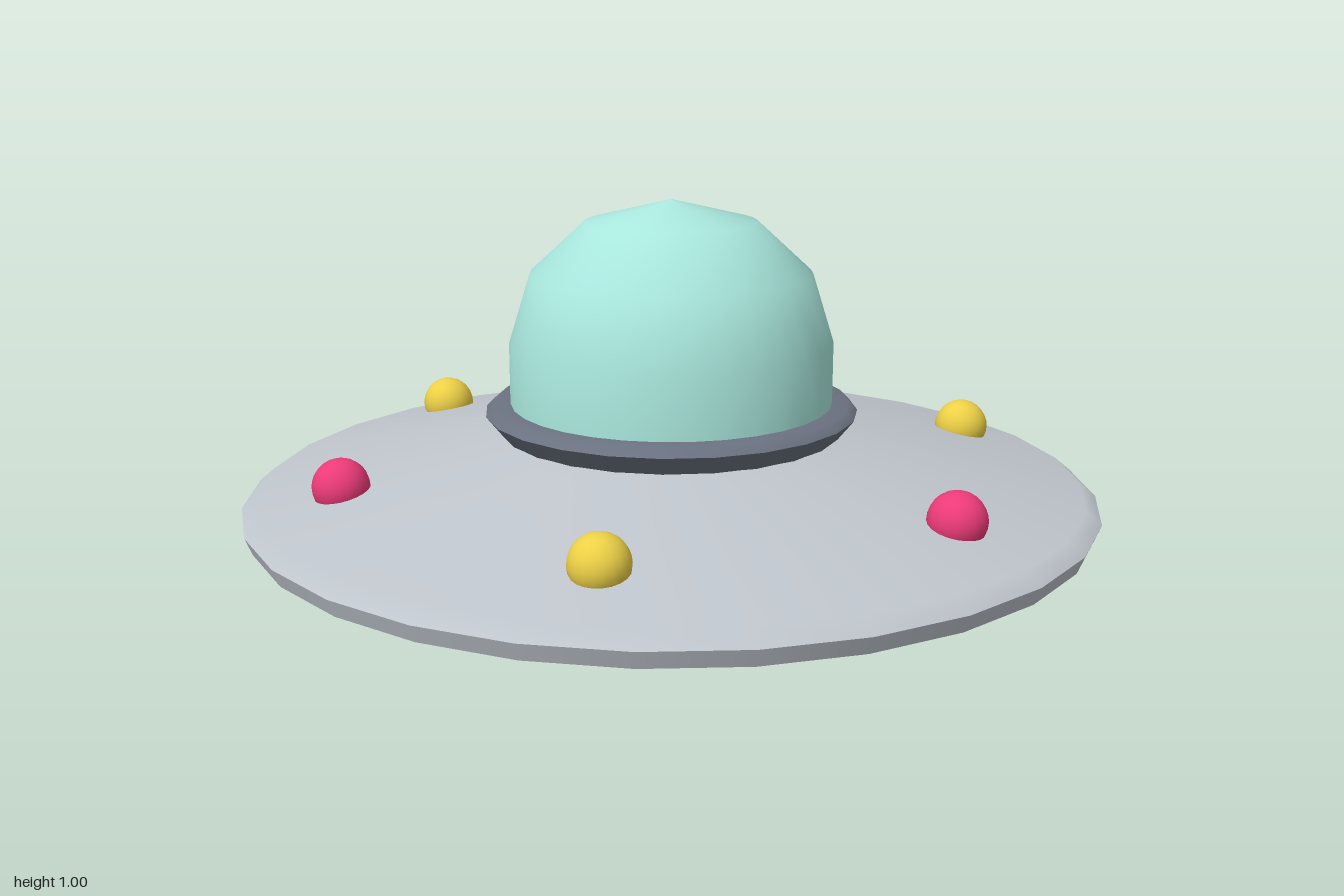
import * as THREE from 'three';

const mat = (color) => new THREE.MeshStandardMaterial({ color });

// Surface of revolution from [radius, height] pairs listed bottom to top;
// the half-step turn puts flat sides on the x and z axes
function lathe(name, points, sides, material) {
  const profile = points.map(([r, y]) => new THREE.Vector2(r, y));
  const mesh = new THREE.Mesh(new THREE.LatheGeometry(profile, sides), material);
  mesh.rotation.y = Math.PI / sides;
  mesh.name = name;
  return mesh;
}

export function createModel() {
  const model = new THREE.Group();
  model.name = 'flyingSaucer';

  const hull = mat(0xbfc5cc);
  const trim = mat(0x6b7280);
  const glass = mat(0xa8e6dc);
  const pink = mat(0xec3b78);
  const yellow = mat(0xecd046);

  // Saucer body: separate bands keep the rim and base edges sharp
  const body = new THREE.Group();
  body.name = 'saucerBody';
  body.add(
    lathe('basePlate', [[0, 0], [0.34, 0.025]], 28, hull),
    lathe('underside', [[0.34, 0.025], [0.5, 0.145], [0.99, 0.265]], 28, hull),
    lathe('rim', [[0.99, 0.265], [1.006, 0.305]], 28, hull),
    lathe('upperDeck', [[1.006, 0.305], [0.97, 0.335], [0.4, 0.46], [0.36, 0.465]], 28, hull),
  );
  model.add(body);

  // Collar around the dome
  const collar = new THREE.Group();
  collar.name = 'collar';
  collar.add(
    lathe('collarFlare', [[0.4, 0.455], [0.44, 0.505]], 24, trim),
    lathe('collarTop', [[0.44, 0.505], [0.42, 0.525], [0.36, 0.525]], 24, trim),
  );
  model.add(collar);

  // Cockpit dome
  model.add(lathe('dome',
    [[0.38, 0.5], [0.38, 0.67], [0.33, 0.83], [0.2, 0.95], [0, 1]], 32, glass));

  // Six alternating lamps, half sunk into the deck
  const lampGeometry = new THREE.SphereGeometry(0.065, 20, 14);
  for (let i = 0; i < 6; i++) {
    const angle = (i * Math.PI) / 3;
    const lamp = new THREE.Mesh(lampGeometry, i % 2 ? pink : yellow);
    lamp.position.set(Math.sin(angle) * 0.785, 0.39, Math.cos(angle) * 0.785);
    lamp.name = `lamp${i + 1}`;
    model.add(lamp);
  }
  return model;
}
